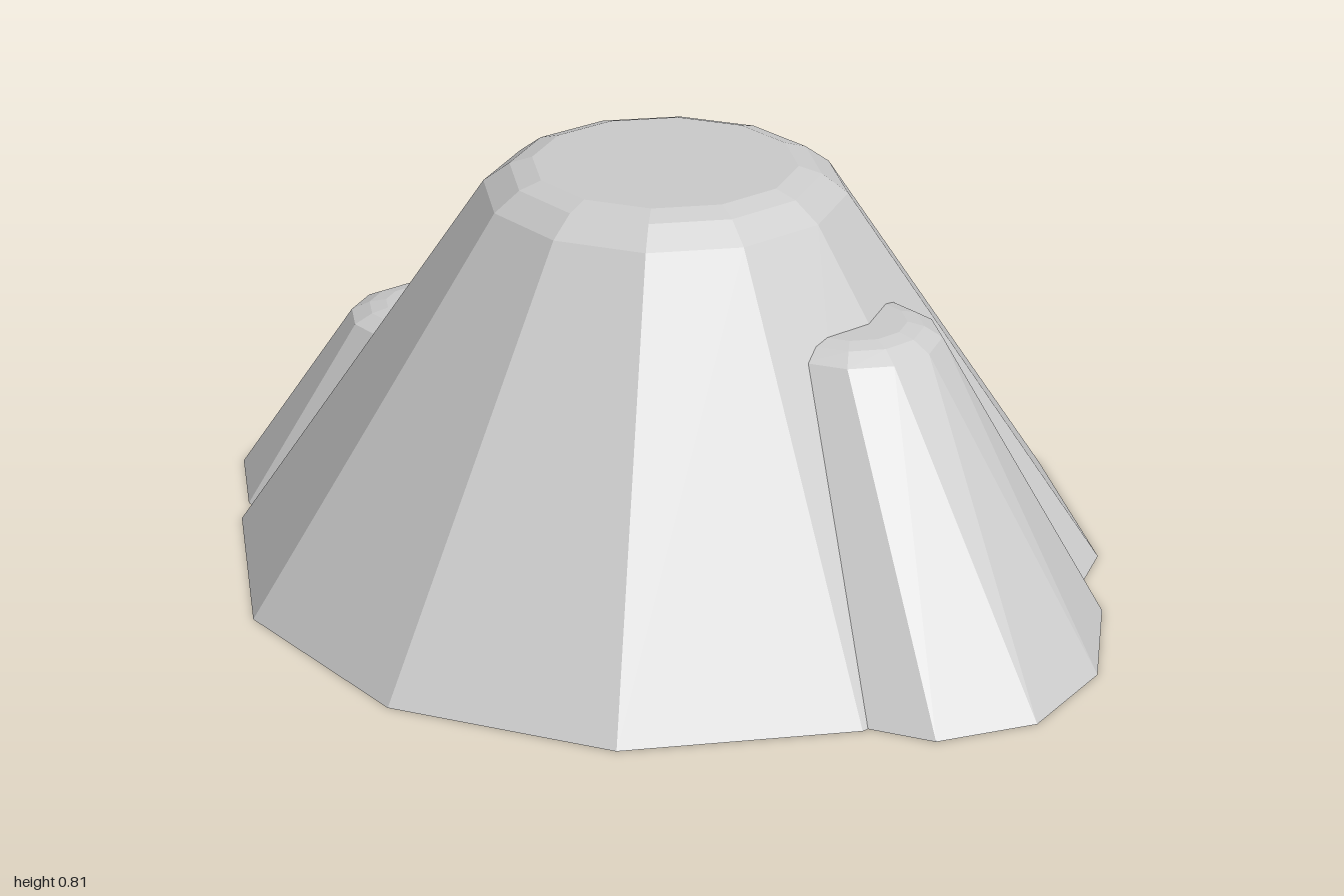
import * as THREE from 'three';

const SIDES = 12;
const material = new THREE.MeshStandardMaterial({ color: 0xcccccc, flatShading: true });

// A round twelve-sided cross-section at height y
const ring = (y, r, x = 0, z = 0) => ({ y, x, z, a: [r, 0], b: [0, r] });

// Closed, faceted loft through cross-sections listed from bottom to top
function loft(name, rings) {
  const positions = [];
  const point = ({ y, x, z, a, b }, i) => {
    const t = ((i % SIDES) / SIDES) * Math.PI * 2;
    const c = Math.cos(t), s = Math.sin(t);
    return [x + a[0] * c + b[0] * s, y, z + a[1] * c + b[1] * s];
  };
  const triangle = (p, q, r) => positions.push(...p, ...q, ...r);
  const bottom = rings[0], top = rings[rings.length - 1];

  for (let i = 0; i < SIDES; i++) {
    for (let k = 0; k < rings.length - 1; k++) {
      const lo = rings[k], up = rings[k + 1];
      triangle(point(lo, i), point(up, i), point(lo, i + 1));
      triangle(point(lo, i + 1), point(up, i), point(up, i + 1));
    }
    triangle([top.x, top.y, top.z], point(top, i + 1), point(top, i));
    triangle([bottom.x, bottom.y, bottom.z], point(bottom, i), point(bottom, i + 1));
  }

  const geometry = new THREE.BufferGeometry();
  geometry.setAttribute('position', new THREE.Float32BufferAttribute(positions, 3));
  geometry.computeVertexNormals();
  const mesh = new THREE.Mesh(geometry, material);
  mesh.name = name;
  return mesh;
}

export function createModel() {
  const group = new THREE.Group();
  group.name = 'rockMound';

  // Main mound with a bevelled flat top
  group.add(loft('mainMound', [
    ring(0, 0.875), ring(0.76, 0.357), ring(0.798, 0.305), ring(0.812, 0.26),
  ]));

  // Low outcrop on the right flank
  group.add(loft('rightOutcrop', [
    ring(0, 0.41, -0.59, 0.02), ring(0.36, 0.163, -0.59, 0.02),
    ring(0.378, 0.125, -0.59, 0.02), ring(0.385, 0.09, -0.59, 0.02),
  ]));

  // Taller outcrop on the left flank: skewed oval foot, round top leaning inward
  group.add(loft('leftOutcrop', [
    { y: 0, x: 0.56, z: -0.02, a: [0.44, 0.02], b: [0.123, 0.465] },
    ring(0.557, 0.172, 0.438), ring(0.578, 0.137, 0.438), ring(0.586, 0.105, 0.438),
  ]));

  return group;
}
